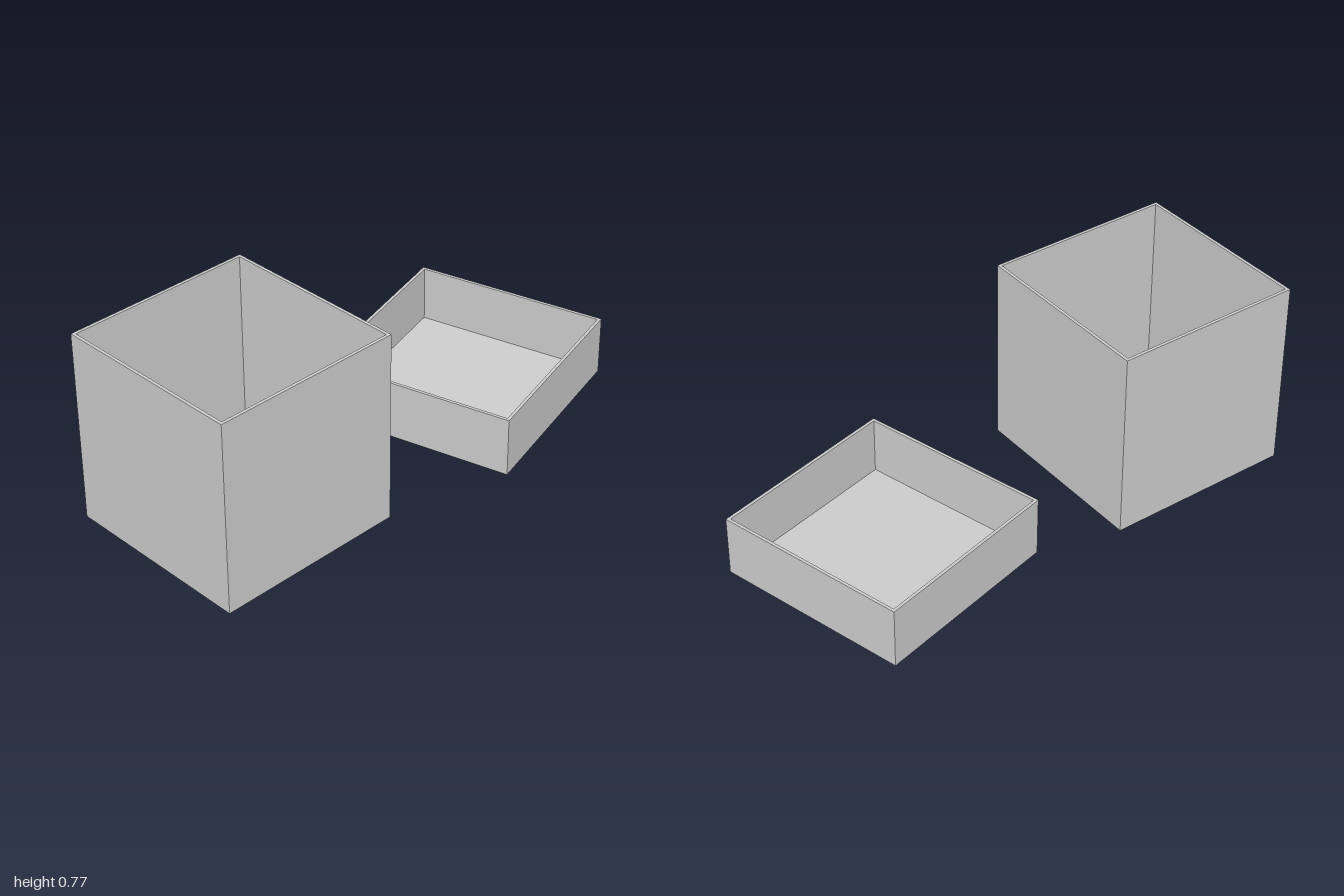
import * as THREE from 'three';

const WALL = 0.012;
const material = new THREE.MeshStandardMaterial({ color: 0xcccccc, flatShading: true });

// Square outline centred on the origin, traced into a Shape or Path
function square(path, size) {
  const h = size / 2;
  path.moveTo(-h, -h);
  path.lineTo(h, -h);
  path.lineTo(h, h);
  path.lineTo(-h, h);
  path.closePath();
  return path;
}

// Open-topped square tray standing on y = 0: a hollow wall ring and a floor panel
function openTray(name, size, height) {
  const tray = new THREE.Group();
  tray.name = name;

  const inner = size - 2 * WALL;
  const outline = square(new THREE.Shape(), size);
  outline.holes.push(square(new THREE.Path(), inner));
  const ring = new THREE.ExtrudeGeometry(outline, { depth: height, bevelEnabled: false });
  ring.rotateX(-Math.PI / 2);
  const walls = new THREE.Mesh(ring, material);
  walls.name = name + 'Walls';

  const floor = new THREE.Mesh(new THREE.BoxGeometry(inner, WALL, inner), material);
  floor.name = name + 'Floor';
  floor.position.y = WALL / 2;

  tray.add(walls, floor);
  return tray;
}

export function createModel() {
  const model = new THREE.Group();
  model.name = 'boxWithLid';

  // Tall box in front
  const box = openTray('box', 0.75, 0.752);
  box.position.set(0, 0.022, 0.625);

  // Shallow lid lying upturned behind, turned and slightly tilted
  const lid = openTray('lid', 0.775, 0.238);
  lid.position.set(0, 0.0085, -0.525);
  lid.rotation.set(0.0185, THREE.MathUtils.degToRad(15), -0.0025, 'YXZ');

  model.add(box, lid);
  return model;
}
